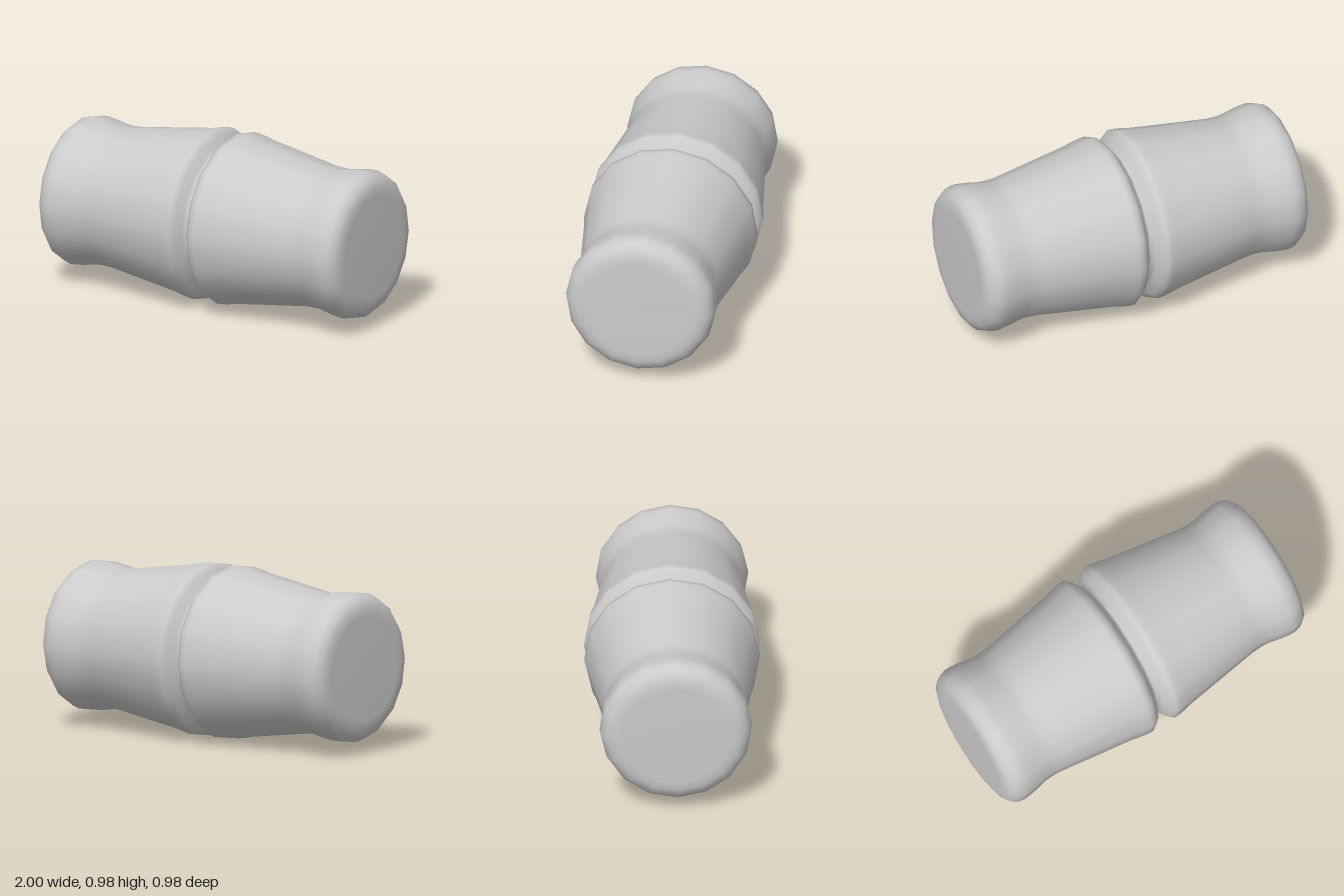
import * as THREE from 'three';

export function createModel() {
  const group = new THREE.Group();
  const material = new THREE.MeshStandardMaterial({ color: 0xcccccc });

  // Half profile [distance from the middle, radius], from waist groove to end cap
  const half = [
    [0, 0.402], [0.02, 0.42], [0.04, 0.463], [0.07, 0.491], [0.1, 0.49],
    [0.15, 0.482], [0.2, 0.47], [0.65, 0.402], [0.7, 0.4], [0.74, 0.401],
    [0.82, 0.417], [0.88, 0.425], [0.91, 0.425], [0.95, 0.414], [0.98, 0.385],
    [0.993, 0.35], [1, 0.3], [1, 0],
  ];

  // Mirror it into a full profile, running from -x to +x
  const profile = [
    ...half.slice(1).reverse().map(([d, r]) => new THREE.Vector2(r, -d)),
    ...half.map(([d, r]) => new THREE.Vector2(r, d)),
  ];

  // Sixteen-sided smooth body laid along x, its sides turned slightly
  const geometry = new THREE.LatheGeometry(profile, 16, -0.028, Math.PI * 2);
  geometry.rotateZ(-Math.PI / 2);

  // The two ends sit a touch lower and further forward than the waist
  const p = geometry.attributes.position;
  for (let i = 0; i < p.count; i++) {
    const d = Math.abs(p.getX(i));
    p.setY(i, p.getY(i) + 0.4935 - 0.006 * d);
    p.setZ(i, p.getZ(i) + 0.013 * d);
  }

  const body = new THREE.Mesh(geometry, material);
  body.name = 'waistedBarrelBody';
  group.add(body);
  return group;
}
